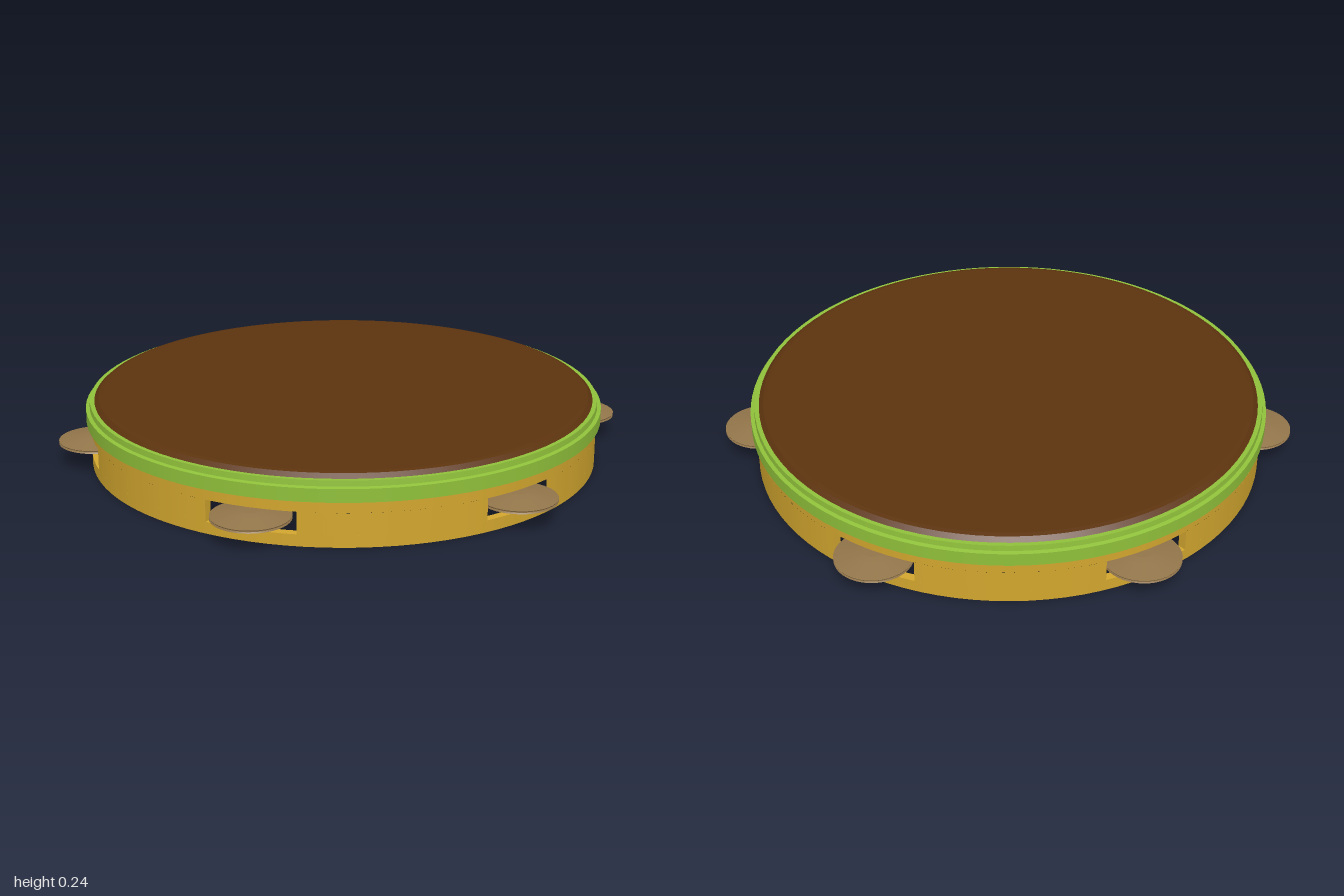
import * as THREE from 'three';
import { mergeGeometries } from 'three/addons/utils/BufferGeometryUtils.js';

// Revolves every profile edge separately so edges stay sharp and walls stay smooth
function revolve(points, segments, start = 0, length = Math.PI * 2) {
  const edges = [];
  for (let i = 0; i < points.length - 1; i++) {
    const pair = [points[i], points[i + 1]].map(([r, y]) => new THREE.Vector2(r, y));
    edges.push(new THREE.LatheGeometry(pair, segments, start, length));
  }
  return mergeGeometries(edges);
}

const rectangle = (inner, outer, low, high) =>
  [[inner, low], [outer, low], [outer, high], [inner, high], [inner, low]];

export function createModel() {
  const material = (name, color) => {
    const m = new THREE.MeshStandardMaterial({ color });
    m.name = name;
    return m;
  };
  const wood = material('golden wood', 0xd2a62e);
  const green = material('green rim', 0x8fc03a);
  const brown = material('brown skin', 0x5c330e);
  const bronze = material('bronze', 0x92754a);

  const model = new THREE.Group();
  model.name = 'tambourine';
  const add = (parent, name, geometry, mat) => {
    const mesh = new THREE.Mesh(geometry, mat);
    mesh.name = name;
    parent.add(mesh);
    return mesh;
  };

  // Wooden frame: two hoops joined by six curved wall pieces, leaving six slots
  const inner = 0.855, outer = 0.885, slotLow = 0.04, slotHigh = 0.115, top = 0.157;
  const frame = new THREE.Group();
  frame.name = 'frame';
  model.add(frame);
  add(frame, 'lowerHoop', revolve(rectangle(inner, outer, 0, slotLow), 96), wood);
  add(frame, 'upperHoop', revolve(rectangle(inner, outer, slotHigh, top), 96), wood);

  const halfSlot = Math.asin(0.15 / 0.87);
  const step = Math.PI / 3;
  const slotEnd = (phi, turn) => {
    const mid = (inner + outer) / 2;
    return new THREE.PlaneGeometry(outer - inner, slotHigh - slotLow)
      .rotateY(phi + turn)
      .translate(mid * Math.sin(phi), (slotLow + slotHigh) / 2, mid * Math.cos(phi));
  };
  for (let i = 0; i < 6; i++) {
    const a = i * step + halfSlot, b = (i + 1) * step - halfSlot;
    const wall = mergeGeometries([
      revolve([[outer, slotLow], [outer, slotHigh]], 14, a, b - a),
      revolve([[inner, slotHigh], [inner, slotLow]], 14, a, b - a),
      slotEnd(a, -Math.PI / 2),
      slotEnd(b, Math.PI / 2),
    ]);
    add(frame, 'wallPiece', wall, wood);
  }

  // Stepped green tension rim
  add(model, 'tensionRim', revolve([
    [0.855, 0.155], [0.9, 0.155], [0.9, 0.2], [0.887, 0.203], [0.885, 0.222],
    [0.87, 0.222], [0.87, 0.176], [0.855, 0.176], [0.855, 0.155],
  ], 96), green);

  // Drum skin: a thin inverted cup
  add(model, 'skin', revolve([
    [0, 0.225], [0.855, 0.225], [0.855, 0.176], [0.87, 0.176], [0.87, 0.222],
    [0.855, 0.235], [0.84, 0.238], [0, 0.238],
  ], 96), brown);

  // Jingles: each a facing pair of shallow cymbals
  const cymbal = revolve([
    [0, 0.001], [0.128, 0.001], [0.13, 0.005], [0.06, 0.019], [0.035, 0.023], [0, 0.024],
  ], 40);
  const centres = [
    [0, 0.87], [0, -0.87], [0.745, 0.445], [0.745, -0.45], [-0.745, -0.45], [-0.77, 0.4],
  ];
  for (const [x, z] of centres) {
    const jingle = new THREE.Group();
    jingle.name = 'jingle';
    jingle.position.set(x, 0.08, z);
    add(jingle, 'upperCymbal', cymbal, bronze);
    add(jingle, 'lowerCymbal', cymbal, bronze).rotation.x = Math.PI;
    model.add(jingle);
  }
  return model;
}
